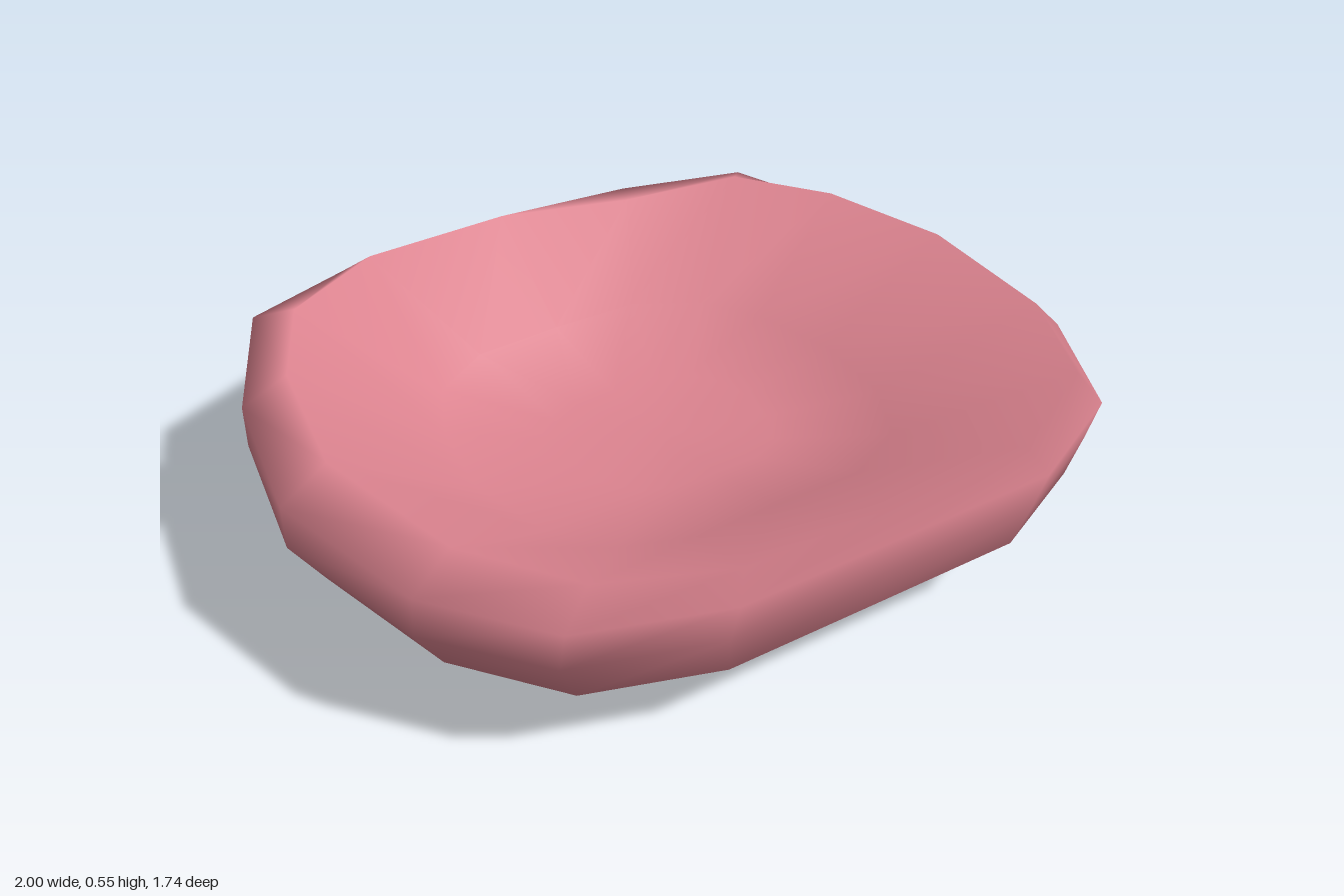
import * as THREE from 'three';

// Plan outline [x, z], running from the back round by +x
const OUTLINE = [
  [-0.44, -0.87], [0.02, -0.87], [0.45, -0.84], [0.74, -0.66], [0.91, -0.39], [1, 0],
  [0.96, 0.43], [0.79, 0.74], [0.48, 0.87], [0.06, 0.85], [-0.36, 0.83], [-0.7, 0.7],
  [-0.9, 0.43], [-1, 0], [-0.92, -0.41], [-0.76, -0.71],
];

// Cross-section rings from the underside, over the rim, down into the hollow:
// y, reach towards -x, +x, -z, +z
const RINGS = [
  [0.0, 0.37, 0.54, 0.43, 0.45],
  [0.12, 0.75, 0.82, 0.78, 0.71],
  [0.22, 0.92, 0.98, 0.86, 0.8],
  [0.35, 1.0, 0.99, 0.87, 0.84],
  [0.465, 1.0, 1.0, 0.86, 0.87],
  [0.523, 0.88, 0.93, 0.79, 0.82],
  [0.31, 0.52, 0.56, 0.5, 0.47],
  [0.27, 0.25, 0.28, 0.2, 0.24],
];
const SHOULDER = 4;
const RIM = 5;

// Uneven corners: height changes by outline point
const SHOULDER_LIFT = { 3: 0.045, 15: 0.045 };
const RIM_LIFT = { 2: -0.06, 7: 0.015, 9: -0.01, 10: -0.01 };

function cushionGeometry() {
  const n = OUTLINE.length;
  const positions = [];
  const index = [];

  RINGS.forEach(([y, left, right, back, front], r) => {
    OUTLINE.forEach(([ox, oz], i) => {
      const x = ox * (ox < 0 ? left : right);
      const z = (oz / 0.87) * (oz < 0 ? back : front);
      let h = y;
      if (r === 0) h += 0.12 * Math.max(0, -z);               // underside lifts at the back
      if (r === SHOULDER) h += SHOULDER_LIFT[i] ?? 0;
      if (r === RIM) h += 0.02 * x * x + (RIM_LIFT[i] ?? 0);  // rim rises at the sides
      positions.push(x, h, z);
    });
  });

  // Bands between neighbouring rings
  for (let r = 0; r < RINGS.length - 1; r++) {
    for (let i = 0; i < n; i++) {
      const j = (i + 1) % n;
      const a = r * n + i, b = r * n + j, c = a + n, d = b + n;
      index.push(a, c, b, b, c, d);
    }
  }

  // Centres of the underside and of the hollow
  const bottom = positions.length / 3;
  positions.push(0.08, 0.015, 0);
  const floor = bottom + 1;
  positions.push(0.02, 0.255, 0);
  const last = (RINGS.length - 1) * n;
  for (let i = 0; i < n; i++) {
    const j = (i + 1) % n;
    index.push(bottom, i, j);
    index.push(last + i, floor, last + j);
  }

  const geometry = new THREE.BufferGeometry();
  geometry.setAttribute('position', new THREE.Float32BufferAttribute(positions, 3));
  geometry.setIndex(index);
  geometry.computeVertexNormals();
  return geometry;
}

export function createModel() {
  const group = new THREE.Group();
  group.name = 'hollowCushion';
  const material = new THREE.MeshStandardMaterial({ color: 0xdd8490 });
  const cushion = new THREE.Mesh(cushionGeometry(), material);
  cushion.name = 'cushion';
  group.add(cushion);
  return group;
}
